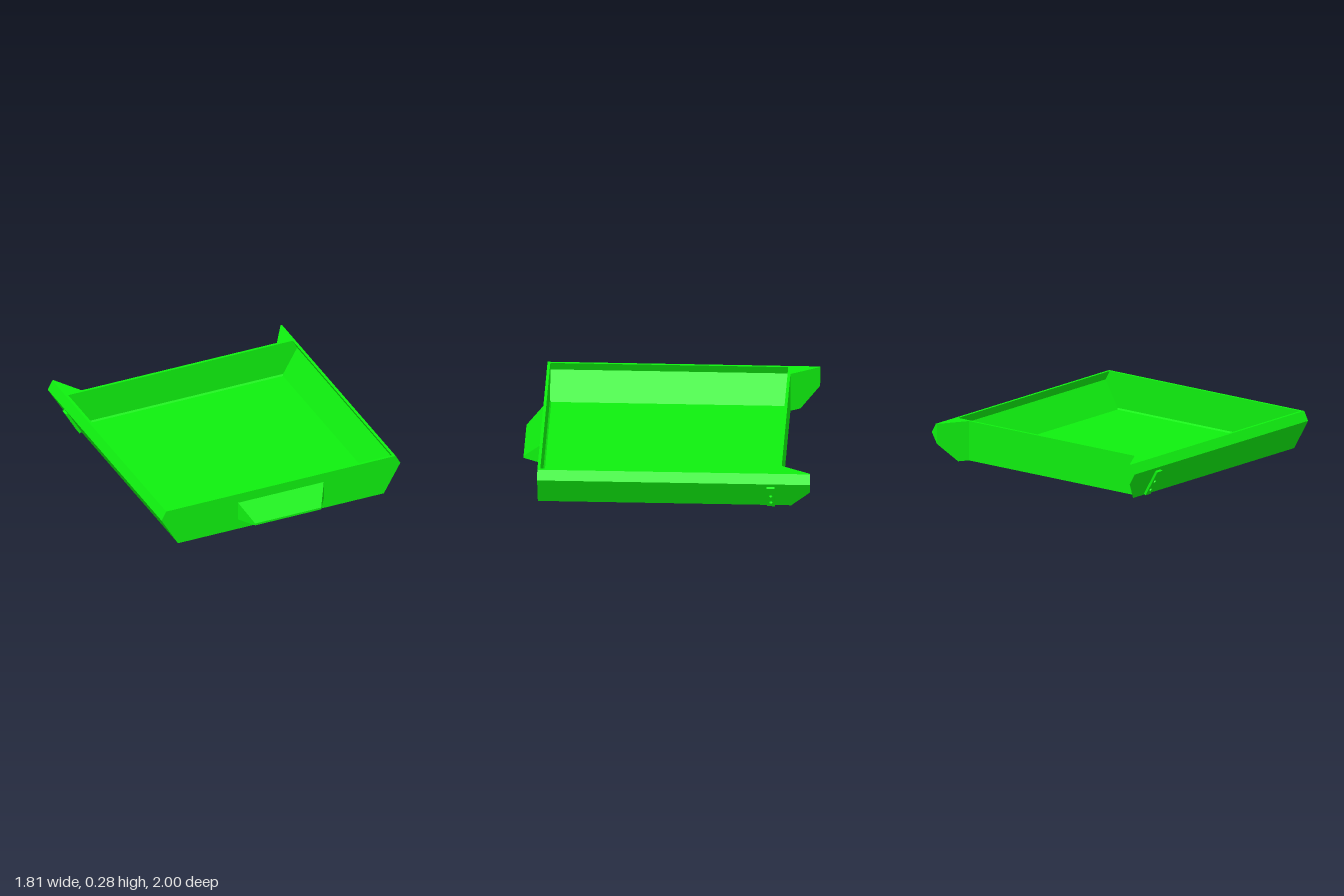
import * as THREE from 'three';
import { ConvexGeometry } from 'three/addons/geometries/ConvexGeometry.js';

const material = new THREE.MeshStandardMaterial({ color: 0x0ff00f, flatShading: true });
const shapeOf = (pts) => new THREE.Shape(pts.map(([x, y]) => new THREE.Vector2(x, y)));
const mirrored = (pts) => [...pts, ...pts.map(([x, ...rest]) => [-x, ...rest]).reverse()];

export function createModel() {
  const group = new THREE.Group();
  const add = (name, geometry) => {
    const mesh = new THREE.Mesh(geometry, material);
    mesh.name = name;
    group.add(mesh);
    return mesh;
  };
  const extrude = (name, shape, z0, z1) => {
    const g = new THREE.ExtrudeGeometry(shape, { depth: z1 - z0, bevelEnabled: false });
    return add(name, g.translate(0, 0, z0));
  };
  const hull = (name, pts) =>
    add(name, new ConvexGeometry(pts.map((p) => new THREE.Vector3(...p))));

  // Tray: floor and bent side walls, closed by an upright wall at each end
  const outer = [[0.78, 0], [0.905, 0.215], [0.87, 0.28]];
  const inner = [[0.85, 0.28], [0.885, 0.215], [0.773, 0.02]];
  extrude('floorAndSides', shapeOf(mirrored([...outer, ...inner])), -0.78, 0.86);
  extrude('frontWall', shapeOf(mirrored(outer)), 0.86, 0.88);
  extrude('backWall', shapeOf(mirrored(outer)), -0.8, -0.78);

  // Small chamfers where the end walls meet the floor
  for (const [wall, dir, name] of [[0.86, -1, 'frontChamfer'], [-0.78, 1, 'backChamfer']]) {
    hull(name, mirrored([[0.773, 0.02, wall], [0.779, 0.03, wall], [0.773, 0.02, wall + dir * 0.01]]));
  }

  // Pull on the front: sloping cover and two tapered ends, open below for the fingers
  hull('pullCover', mirrored([
    [0.325, 0.21, 0.88], [0.25, 0.09, 1], [0.25, 0.075, 1],
    [0.305, 0.185, 0.88], [0.235, 0.075, 0.985],
  ]));

  for (const s of [1, -1]) {
    const side = s > 0 ? 'left' : 'right';

    hull(side + 'PullEnd', [
      [0.325, 0.21, 0.88], [0.325, 0.075, 0.88], [0.25, 0.09, 1], [0.25, 0.075, 1],
      [0.305, 0.185, 0.88], [0.305, 0.075, 0.88], [0.235, 0.075, 0.985],
    ].map(([x, y, z]) => [s * x, y, z]));

    // Tapered ear behind the back wall, continuing the side wall
    hull(side + 'BackEar', [
      [0.74, 0, -0.8], [0.78, 0, -0.8], [0.905, 0.215, -0.8], [0.87, 0.28, -0.8], [0.74, 0.28, -0.8],
      [0.78, 0, -0.867],
      [0.86, 0.138, -1], [0.905, 0.215, -1], [0.87, 0.28, -1], [0.86, 0.28, -1],
    ].map(([x, y, z]) => [s * x, y, z]));

    // Plate with two screw holes, lying flat on the sloping side wall
    const plate = shapeOf([[0.0104, -0.0275], [0.219, -0.0275], [0.219, 0.0275], [0.0104, 0.0275]]);
    for (const u of [0.055, 0.13]) {
      plate.holes.push(new THREE.Path().absarc(u, 0, 0.012, 0, Math.PI * 2, true));
    }
    const g = new THREE.ExtrudeGeometry(plate, { depth: 0.018, bevelEnabled: false, curveSegments: 10 });
    const up = new THREE.Vector3(s * 0.5, 0.866, 0);
    const out = new THREE.Vector3(s * 0.866, -0.5, 0);
    const along = new THREE.Vector3().crossVectors(out, up);
    g.applyMatrix4(new THREE.Matrix4().makeBasis(up, along, out).setPosition(s * 0.78, 0, -0.728));
    add(side + 'ScrewPlate', g);
  }
  return group;
}
